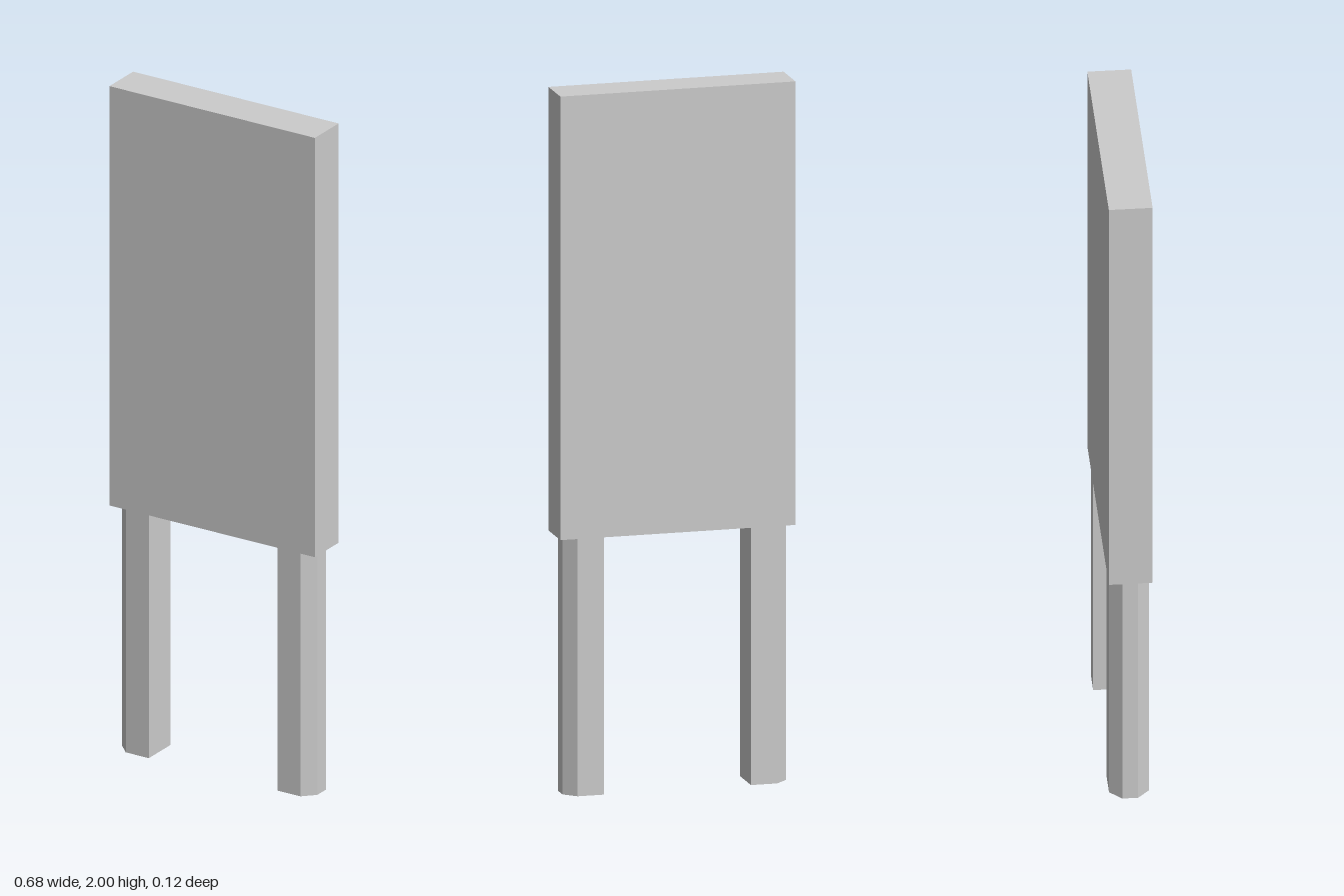
import * as THREE from 'three';

const LEG_HEIGHT = 0.735;

// Leg post: square inner corners, chamfered outer corners, extruded upward
function makeLeg(side, material) {
  const inner = 0.212, outer = 0.322, half = 0.056, cut = 0.034;
  const outline = [
    [inner, -half], [outer - cut, -half], [outer, -half + cut],
    [outer, half - cut], [outer - cut, half], [inner, half],
  ].map(([x, z]) => new THREE.Vector2(side * x, z));
  const geometry = new THREE.ExtrudeGeometry(new THREE.Shape(outline), {
    depth: LEG_HEIGHT, bevelEnabled: false,
  });
  geometry.rotateX(-Math.PI / 2);
  const leg = new THREE.Mesh(geometry, material);
  leg.name = side > 0 ? 'leftLeg' : 'rightLeg';
  return leg;
}

export function createModel() {
  const group = new THREE.Group();
  group.name = 'signBoard';
  const material = new THREE.MeshStandardMaterial({ color: 0xcccccc, flatShading: true });

  // Upright board resting on the legs
  const height = 2 - LEG_HEIGHT;
  const board = new THREE.Mesh(new THREE.BoxGeometry(0.678, height, 0.122), material);
  board.name = 'board';
  board.position.y = LEG_HEIGHT + height / 2;
  group.add(board);

  // Mirrored pair of legs
  for (const side of [-1, 1]) group.add(makeLeg(side, material));
  return group;
}
